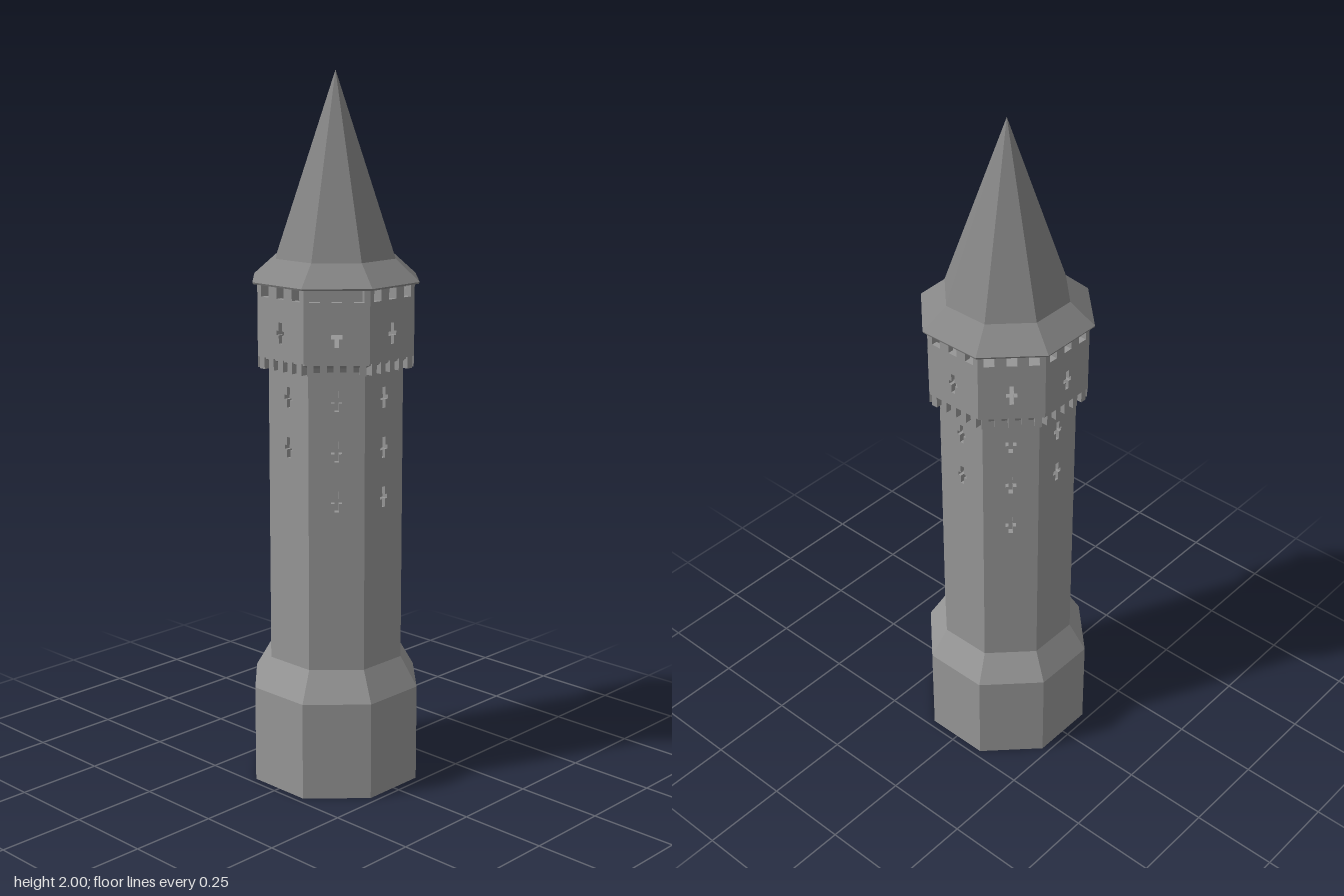
import * as THREE from 'three';

const SIDES = 8;
const STEP = (Math.PI * 2) / SIDES;
const TO_CORNER = 1 / Math.cos(STEP / 2);

const stone = new THREE.MeshStandardMaterial({ color: 0x969696, flatShading: true });
stone.name = 'stone';
const roofGrey = new THREE.MeshStandardMaterial({ color: 0x868686, flatShading: true });
roofGrey.name = 'roof grey';

// Octagonal solid from [distance to flat side, height] pairs, bottom to top
function octagon(name, profile, material) {
  const points = profile.map(([a, y]) => new THREE.Vector2(a * TO_CORNER, y));
  const mesh = new THREE.Mesh(new THREE.LatheGeometry(points, SIDES, STEP / 2), material);
  mesh.name = name;
  return mesh;
}

// Cross-shaped arrow slit as a hole
function arrowSlit(y) {
  const w = 0.006, arm = 0.015, h = 0.029, t = 0.006;
  const corners = [
    [-w, -h], [w, -h], [w, -t], [arm, -t], [arm, t], [w, t],
    [w, h], [-w, h], [-w, t], [-arm, t], [-arm, -t], [-w, -t],
  ];
  return new THREE.Path(corners.map(([px, py]) => new THREE.Vector2(px, y + py)));
}

// One flat wall side, its outer face at z = apothem
function wallPanel(name, apothem, depth, outline, slits) {
  const shape = new THREE.Shape(outline.map(([x, y]) => new THREE.Vector2(x, y)));
  shape.holes = slits.map(arrowSlit);
  const geometry = new THREE.ExtrudeGeometry(shape, { depth, bevelEnabled: false });
  geometry.translate(0, 0, apothem - depth);
  const mesh = new THREE.Mesh(geometry, stone);
  mesh.name = name;
  return mesh;
}

// Parapet outline with notches cut from its top edge
function battlement(half, bottom, top, notch, count) {
  const points = [[-half, bottom], [half, bottom], [half, top]];
  const pitch = (half * 2) / count;
  for (let i = 0; i < count; i++) {
    const x = half - pitch * (i + 0.5), g = pitch * 0.24;
    points.push([x + g, top], [x + g, top - notch], [x - g, top - notch], [x - g, top]);
  }
  points.push([-half, top]);
  return points;
}

export function createModel() {
  const tower = new THREE.Group();
  tower.name = 'tower';

  // Hollow-footed base, shaft core and parapet floor
  tower.add(octagon('base', [
    [0, 0.015], [0.215, 0.015], [0.215, 0], [0.23, 0], [0.23, 0.28], [0.184, 0.365], [0, 0.365],
  ], stone));
  tower.add(octagon('shaftCore', [[0.166, 0.36], [0.166, 1.23]], stone));
  tower.add(octagon('parapetFloor', [
    [0.18, 1.2], [0.19, 1.222], [0.208, 1.232], [0.208, 1.245], [0, 1.245],
  ], stone));

  const shaftA = 0.184, ringA = 0.213;
  const shaftHalf = shaftA * Math.tan(STEP / 2);
  const ringHalf = ringA * Math.tan(STEP / 2);

  for (let i = 0; i < SIDES; i++) {
    const side = new THREE.Group();
    side.name = 'side' + (i + 1);

    // Shaft wall with two or three arrow slits
    const slits = i % 2 === 1 || i === 0 ? [1.13, 0.99, 0.85] : [1.13, 0.99];
    side.add(wallPanel('shaftWall', shaftA, 0.018, [
      [-shaftHalf, 0.36], [shaftHalf, 0.36], [shaftHalf, 1.235], [-shaftHalf, 1.235],
    ], slits));

    // Parapet wall with notched top
    side.add(wallPanel('parapetWall', ringA, 0.018,
      battlement(ringHalf, 1.237, 1.437, 0.035, 3), [1.31]));

    // Row of small corbels under the parapet
    for (let k = 0; k < 5; k++) {
      const x = ((k + 0.5) / 5 - 0.5) * ringHalf * 2;
      const corbel = new THREE.Mesh(new THREE.BoxGeometry(0.018, 0.035, 0.035), stone);
      corbel.position.set(x, 1.222, ringA - 0.0175);
      corbel.name = 'corbel';
      side.add(corbel);
    }
    side.rotation.y = i * STEP;
    tower.add(side);
  }

  // Flared spire
  tower.add(octagon('roof', [
    [0, 1.435], [0.224, 1.435], [0.226, 1.44], [0.162, 1.5], [0, 2],
  ], roofGrey));

  return tower;
}
